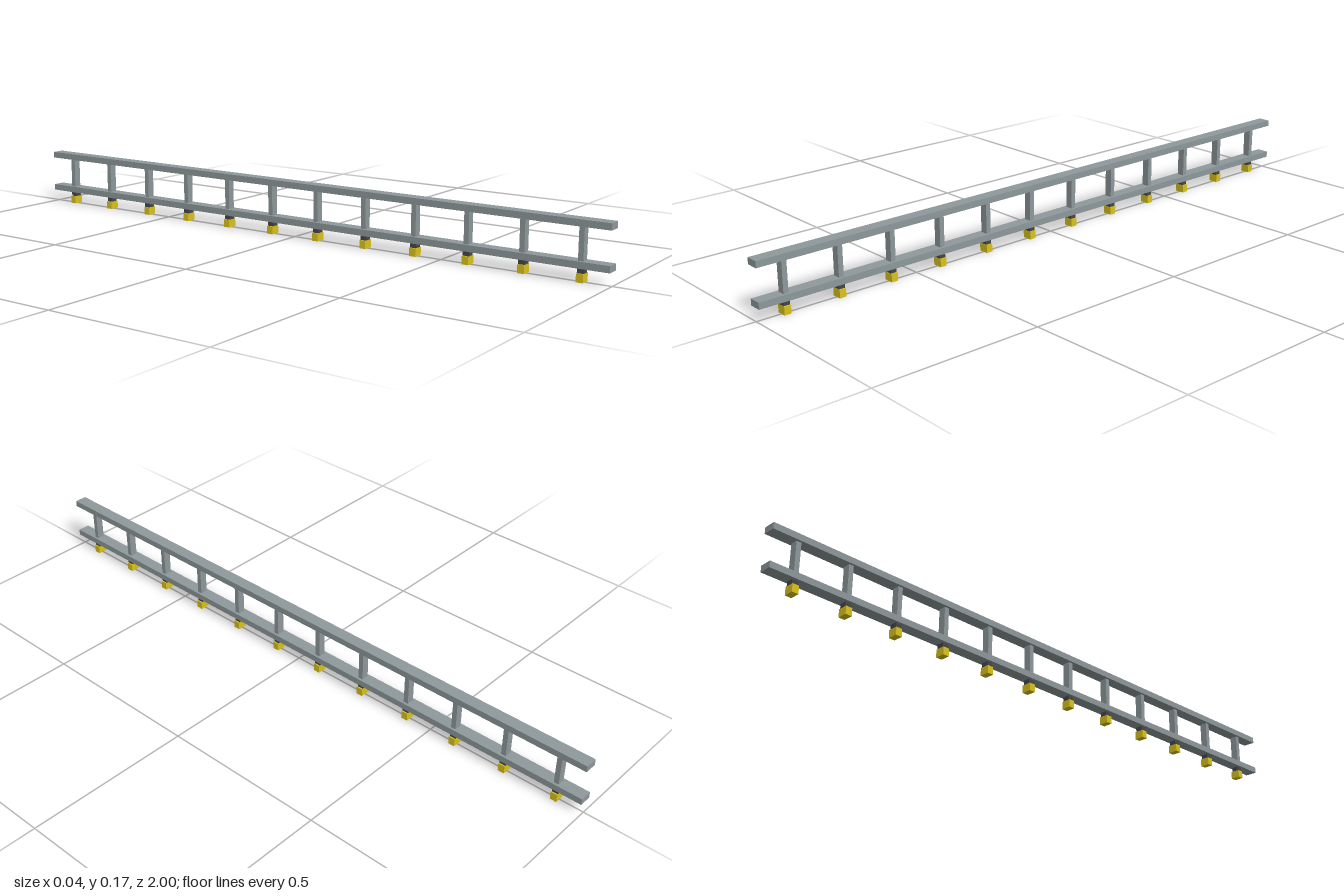
import * as THREE from 'three';

const steel = new THREE.MeshStandardMaterial({ color: 0x8f999c, flatShading: true });
const dark = new THREE.MeshStandardMaterial({ color: 0x444648, flatShading: true });
const yellow = new THREE.MeshStandardMaterial({ color: 0xdcc51c, flatShading: true });

// Box spanning y0..y1, centred on x = 0 and the given z
function block(name, width, y0, y1, depth, z, material) {
  const mesh = new THREE.Mesh(new THREE.BoxGeometry(width, y1 - y0, depth), material);
  mesh.name = name;
  mesh.position.set(0, (y0 + y1) / 2, z);
  return mesh;
}

export function createModel() {
  const model = new THREE.Group();
  model.name = 'railing';

  // Long horizontal rails
  model.add(block('topRail', 0.038, 0.149, 0.168, 2, 0, steel));
  model.add(block('bottomRail', 0.038, 0.038, 0.057, 2, 0, steel));

  // Evenly spaced posts, each with a dark neck and a yellow foot below
  const count = 12;
  const spacing = 2 / count;
  for (let i = 0; i < count; i++) {
    const z = -1 + spacing * (i + 0.5);
    const bay = new THREE.Group();
    bay.name = `postUnit${i + 1}`;
    bay.add(
      block('post', 0.023, 0.057, 0.149, 0.015, z, steel),
      block('neck', 0.022, 0.024, 0.038, 0.019, z, dark),
      block('foot', 0.03, 0, 0.024, 0.02, z, yellow)
    );
    model.add(bay);
  }
  return model;
}
